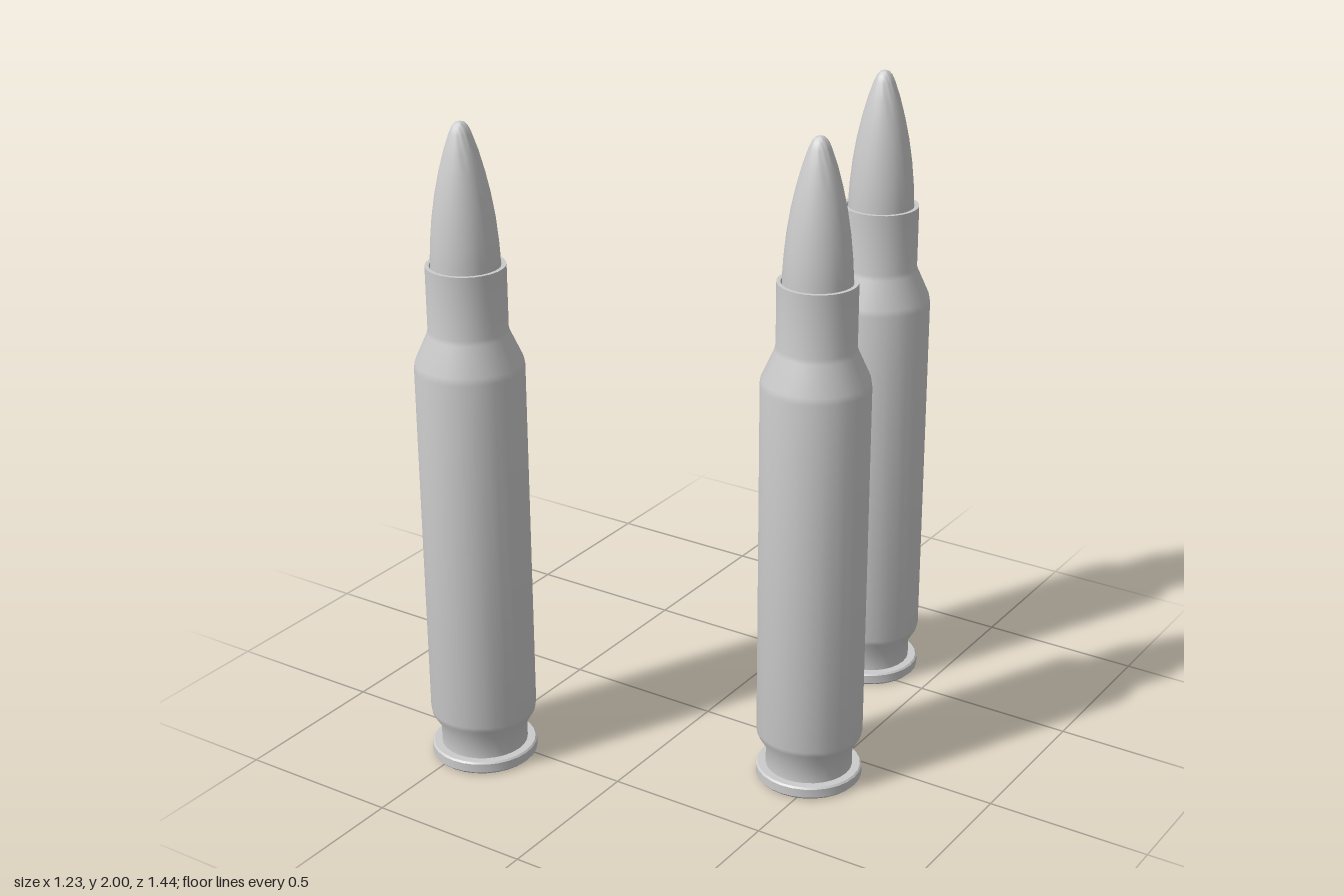
import * as THREE from 'three';
import { toCreasedNormals } from 'three/addons/utils/BufferGeometryUtils.js';

const SIDES = 28;

// Turn a profile of [radius, height] pairs, listed from the bottom up
function turned(name, profile, material) {
  const points = profile.map(([r, y]) => new THREE.Vector2(r, y));
  const geometry = toCreasedNormals(new THREE.LatheGeometry(points, SIDES), 0.7);
  const mesh = new THREE.Mesh(geometry, material);
  mesh.name = name;
  return mesh;
}

function createCartridge(material) {
  const cartridge = new THREE.Group();

  // Case: rim, extractor groove, body, shoulder, neck and open mouth
  cartridge.add(turned('case', [
    [0.075, 0], [0.152, 0], [0.16, 0.008], [0.16, 0.035], [0.155, 0.04],
    [0.131, 0.04], [0.131, 0.1], [0.157, 0.145], [0.16, 0.16],
    [0.16, 1.27], [0.157, 1.29], [0.119, 1.375], [0.116, 1.39],
    [0.116, 1.58], [0.104, 1.58], [0.104, 1.54],
  ], material));

  // Primer set slightly into the base, inside a thin ring
  cartridge.add(turned('primer', [
    [0, 0.003], [0.04, 0.003], [0.07, 0.003], [0.07, 0.006], [0.075, 0.006], [0.075, 0],
  ], material));

  // Bullet: ogive with a small rounded tip
  cartridge.add(turned('bullet', [
    [0.1, 1.54], [0.1, 1.6], [0.097, 1.65], [0.09, 1.72], [0.079, 1.79],
    [0.065, 1.855], [0.049, 1.915], [0.032, 1.965], [0.024, 1.983],
    [0.014, 1.995], [0, 2],
  ], material));

  return cartridge;
}

export function createModel() {
  const model = new THREE.Group();
  model.name = 'cartridges';
  const material = new THREE.MeshStandardMaterial({ color: 0xcccccc, side: THREE.DoubleSide });

  // Three standing cartridges
  [[-0.455, 0.56], [0.455, 0.14], [0.265, -0.56]].forEach(([x, z], i) => {
    const cartridge = createCartridge(material);
    cartridge.name = `cartridge${i + 1}`;
    cartridge.position.set(x, 0, z);
    model.add(cartridge);
  });
  return model;
}
